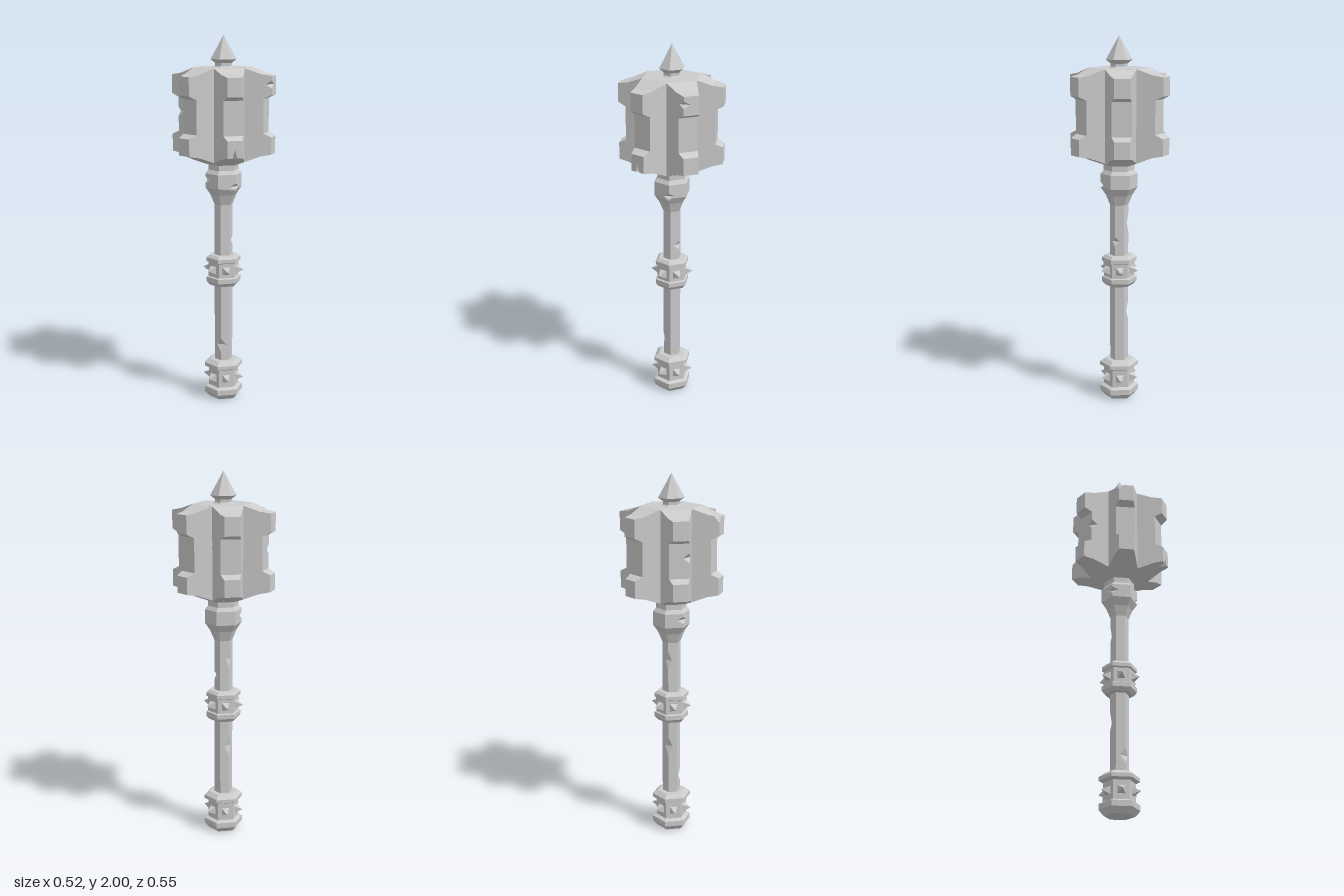
import * as THREE from 'three';

const material = new THREE.MeshStandardMaterial({ color: 0xcccccc, flatShading: true });
const UP = new THREE.Vector3(0, 1, 0);
const V = (x, y, z) => new THREE.Vector3(x, y, z);

// Polygon faces through a stack of rings, closed at both ends
function loft(rings) {
  const faces = [[...rings[0]].reverse(), [...rings[rings.length - 1]]];
  for (let i = 0; i < rings.length - 1; i++) {
    const a = rings[i], b = rings[i + 1], n = a.length;
    for (let k = 0; k < n; k++) faces.push([a[k], a[(k + 1) % n], b[(k + 1) % n], b[k]]);
  }
  return faces;
}

// Six-sided turned part from [radius, y] pairs, corners on the x axis
function hexPart(profile) {
  return loft(profile.map(([r, y]) => Array.from({ length: 6 }, (_, k) =>
    V(r * Math.cos(k * Math.PI / 3), y, -r * Math.sin(k * Math.PI / 3)))));
}

function faceNormal(face) {
  const n = V(0, 0, 0);
  face.forEach((p, i) => n.add(p.clone().cross(face[(i + 1) % face.length])));
  // area vector is taken about the first corner to stay accurate
  const m = V(0, 0, 0);
  for (let i = 1; i < face.length - 1; i++) {
    m.add(face[i].clone().sub(face[0]).cross(face[i + 1].clone().sub(face[0])));
  }
  return (m.lengthSq() > 0 ? m : n).normalize();
}

// Battle damage: a wedge cut across the edge nearest to p
function nick(faces, p, half, depth) {
  let best = Infinity, a, b, mid;
  for (const f of faces) f.forEach((s, i) => {
    const e = f[(i + 1) % f.length];
    const c = new THREE.Line3(s, e).closestPointToPoint(p, true, V(0, 0, 0));
    if (c.distanceTo(p) < best - 1e-6) [best, a, b, mid] = [c.distanceTo(p), s, e, c];
  });
  const d = b.clone().sub(a).normalize();
  const p1 = mid.clone().addScaledVector(d, -half), p2 = mid.clone().addScaledVector(d, half);
  let q, r;
  for (const f of faces) {
    const i = f.findIndex((s, j) => {
      const e = f[(j + 1) % f.length];
      return (s === a && e === b) || (s === b && e === a);
    });
    if (i < 0) continue;
    const forward = f[i] === a;
    const inward = faceNormal(f).cross(d).multiplyScalar(forward ? depth : -depth);
    const point = mid.clone().add(inward);
    if (forward) { q = point; f.splice(i + 1, 0, p1, q, p2); }
    else { r = point; f.splice(i + 1, 0, p2, r, p1); }
  }
  faces.push([q, p1, r], [p2, q, r]);
}

// Battle damage: the corner nearest to p broken off
function chip(faces, p, size) {
  const v = faces.flat().reduce((m, c) => (c.distanceTo(p) < m.distanceTo(p) ? c : m));
  const cuts = new Map(), links = new Map();
  const cut = (to) => {
    if (!cuts.has(to)) cuts.set(to, v.clone().add(to.clone().sub(v).setLength(size)));
    return cuts.get(to);
  };
  for (const f of faces) {
    const i = f.indexOf(v);
    if (i < 0) continue;
    const before = cut(f[(i + f.length - 1) % f.length]), after = cut(f[(i + 1) % f.length]);
    f.splice(i, 1, before, after);
    links.set(after, before);
  }
  const start = [...links.keys()][0], face = [start];
  for (let c = links.get(start); c !== start; c = links.get(c)) face.push(c);
  faces.push(face);
}

// Triangulate the polygon faces into a mesh
function toMesh(name, faces) {
  const points = [];
  for (const f of faces) {
    const n = faceNormal(f);
    const u = (Math.abs(n.y) > 0.9 ? V(1, 0, 0) : UP.clone()).cross(n).normalize();
    const w = n.clone().cross(u);
    const flat = f.map((p) => new THREE.Vector2(p.dot(u), p.dot(w)));
    for (const t of THREE.ShapeUtils.triangulateShape(flat, [])) for (const i of t) points.push(f[i]);
  }
  const geometry = new THREE.BufferGeometry().setFromPoints(points);
  geometry.computeVertexNormals();
  const mesh = new THREE.Mesh(geometry, material);
  mesh.name = name;
  return mesh;
}

// Hexagonal band with a pyramid stud on each side
function studdedBand(name, profile, studY) {
  const band = new THREE.Group();
  band.name = name;
  band.add(toMesh(name + 'Ring', hexPart(profile)));
  const stud = new THREE.ConeGeometry(0.031, 0.045, 4);
  stud.rotateY(Math.PI / 4).rotateX(Math.PI / 2).translate(0, studY, 0.0935);
  for (let k = 0; k < 6; k++) {
    const mesh = new THREE.Mesh(stud, material);
    mesh.name = 'stud';
    mesh.rotation.y = k * Math.PI / 3;
    band.add(mesh);
  }
  return band;
}

export function createModel() {
  const model = new THREE.Group();
  model.name = 'mace';

  // Shaft with worn edges
  const shaft = hexPart([[0.05, 0.2], [0.05, 1.12]]);
  nick(shaft, V(-0.05, 1.0, 0), 0.05, 0.02);
  nick(shaft, V(-0.05, 0.5, 0), 0.055, 0.025);
  nick(shaft, V(0.025, 0.31, 0.043), 0.04, 0.03);
  nick(shaft, V(0.025, 0.9, -0.043), 0.025, 0.03);
  model.add(toMesh('shaft', shaft));

  // Collar under the head
  const collar = hexPart([[0.05, 1.1], [0.073, 1.155], [0.1, 1.195], [0.1, 1.27], [0.083, 1.29], [0.083, 1.33]]);
  nick(collar, V(-0.05, 1.235, 0.087), 0.02, 0.035);
  nick(collar, V(0.1, 1.205, 0), 0.02, 0.035);
  model.add(toMesh('collar', collar));

  // Studded bands on the grip and the pommel
  model.add(studdedBand('gripBand', [[0.078, 0.65], [0.095, 0.67], [0.095, 0.695], [0.085, 0.7],
    [0.085, 0.78], [0.095, 0.785], [0.095, 0.805], [0.078, 0.82]], 0.74));
  model.add(studdedBand('pommel', [[0.08, 0], [0.107, 0.03], [0.107, 0.06], [0.085, 0.07],
    [0.085, 0.17], [0.107, 0.18], [0.107, 0.2], [0.08, 0.22]], 0.12));

  // Head core
  model.add(toMesh('headCore', hexPart([[0.09, 1.32], [0.162, 1.345], [0.162, 1.833]])));

  // Six tapering flanges, each with an upper and a lower prong
  const outline = [[0.14, 1.345], [0.22, 1.375], [0.275, 1.385], [0.275, 1.475], [0.235, 1.495],
    [0.235, 1.675], [0.275, 1.695], [0.275, 1.793], [0.22, 1.803], [0.14, 1.833]];
  const flanges = [];
  for (let k = 0; k < 6; k++) {
    const side = (s) => outline.map(([r, y]) =>
      V(r, y, s * (0.081 - (r - 0.14) * 0.3)).applyAxisAngle(UP, Math.PI / 6 + k * Math.PI / 3));
    flanges.push(...loft([side(-1), side(1)]));
  }
  nick(flanges, V(-0.178, 1.6, 0.162), 0.025, 0.035);
  nick(flanges, V(0.258, 1.75, -0.103), 0.02, 0.035);
  nick(flanges, V(0.238, 1.385, 0.138), 0.013, 0.045);
  chip(flanges, V(-0.04, 1.793, 0.275), 0.03);
  model.add(toMesh('headFlanges', flanges));

  // Spike on top
  model.add(toMesh('topSpike', hexPart([[0.055, 1.83], [0.045, 1.84], [0.045, 1.855], [0.07, 1.875], [0, 2]])));

  return model;
}
